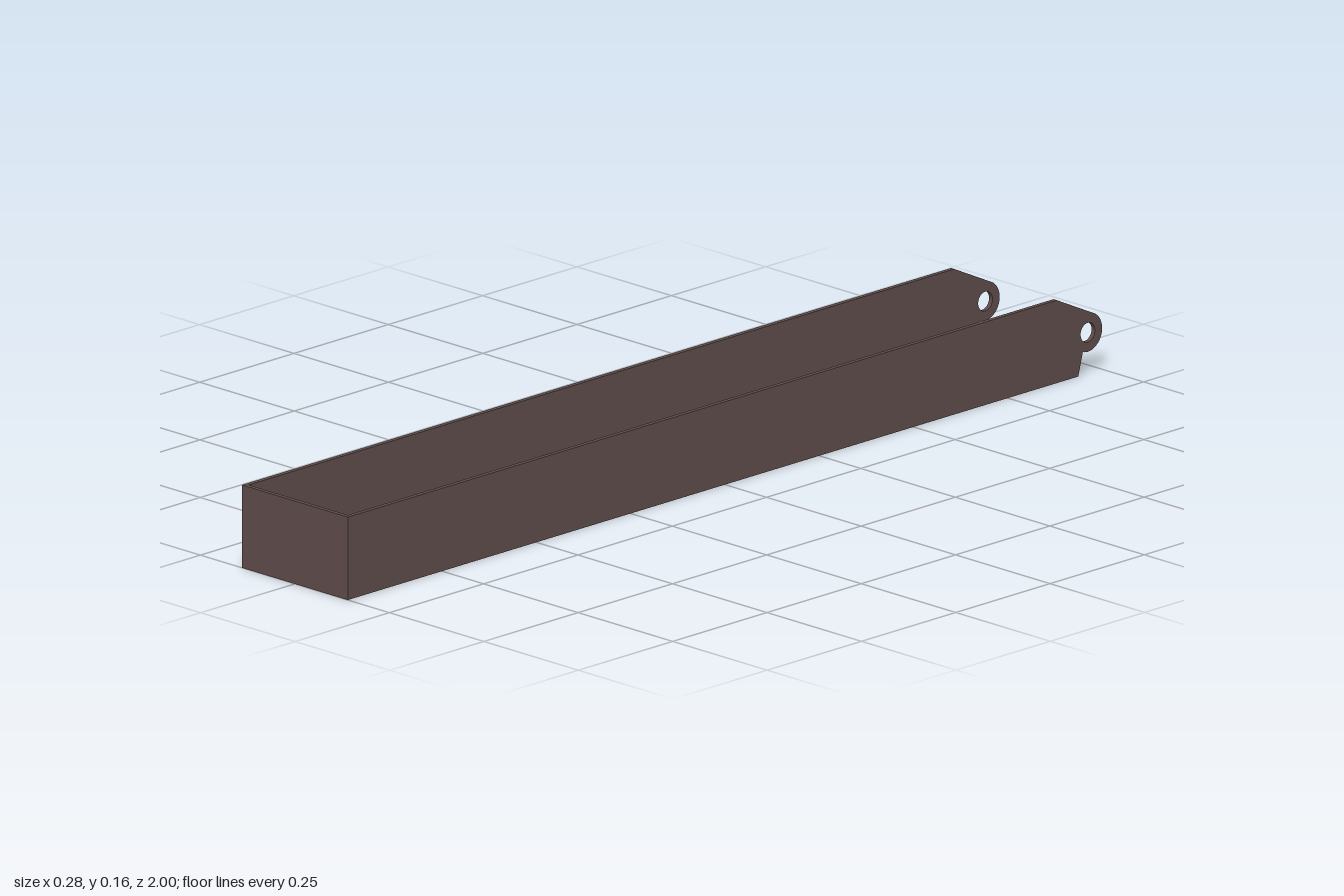
import * as THREE from 'three';

const W = 0.28, H = 0.163, T = 0.009, BACK = -0.937;

export function createModel() {
  const group = new THREE.Group();
  group.name = 'openTray';
  const material = new THREE.MeshStandardMaterial({ color: 0x5e4c4a });

  const add = (name, geometry, x, y, z) => {
    const mesh = new THREE.Mesh(geometry, material);
    mesh.name = name;
    mesh.position.set(x, y, z);
    group.add(mesh);
  };

  // Side wall profile: shape x runs towards the back, with a pierced hinge ear
  const eye = { x: 0.962, y: 0.081, r: 0.038, hole: 0.019 };
  const profile = new THREE.Shape();
  profile.moveTo(-1, 0);
  profile.lineTo(-BACK, 0);
  profile.absarc(eye.x, eye.y, eye.r, -1.92, 1.12, false);
  profile.lineTo(0.88, H);
  profile.lineTo(-1, H);
  profile.closePath();
  const hole = new THREE.Path();
  hole.absarc(eye.x, eye.y, eye.hole, 0, Math.PI * 2, true);
  profile.holes.push(hole);

  const wall = new THREE.ExtrudeGeometry(profile, { depth: T, bevelEnabled: false, curveSegments: 24 });
  wall.rotateY(Math.PI / 2);
  add('leftWall', wall, W / 2 - T, 0, 0);
  add('rightWall', wall, -W / 2, 0, 0);

  // Floor and closed front end fit between the side walls
  const inner = W - 2 * T;
  add('floor', new THREE.BoxGeometry(inner, T, 1 - BACK), 0, T / 2, (1 + BACK) / 2);
  add('frontWall', new THREE.BoxGeometry(inner, H - T, T), 0, (H + T) / 2, 1 - T / 2);

  return group;
}
